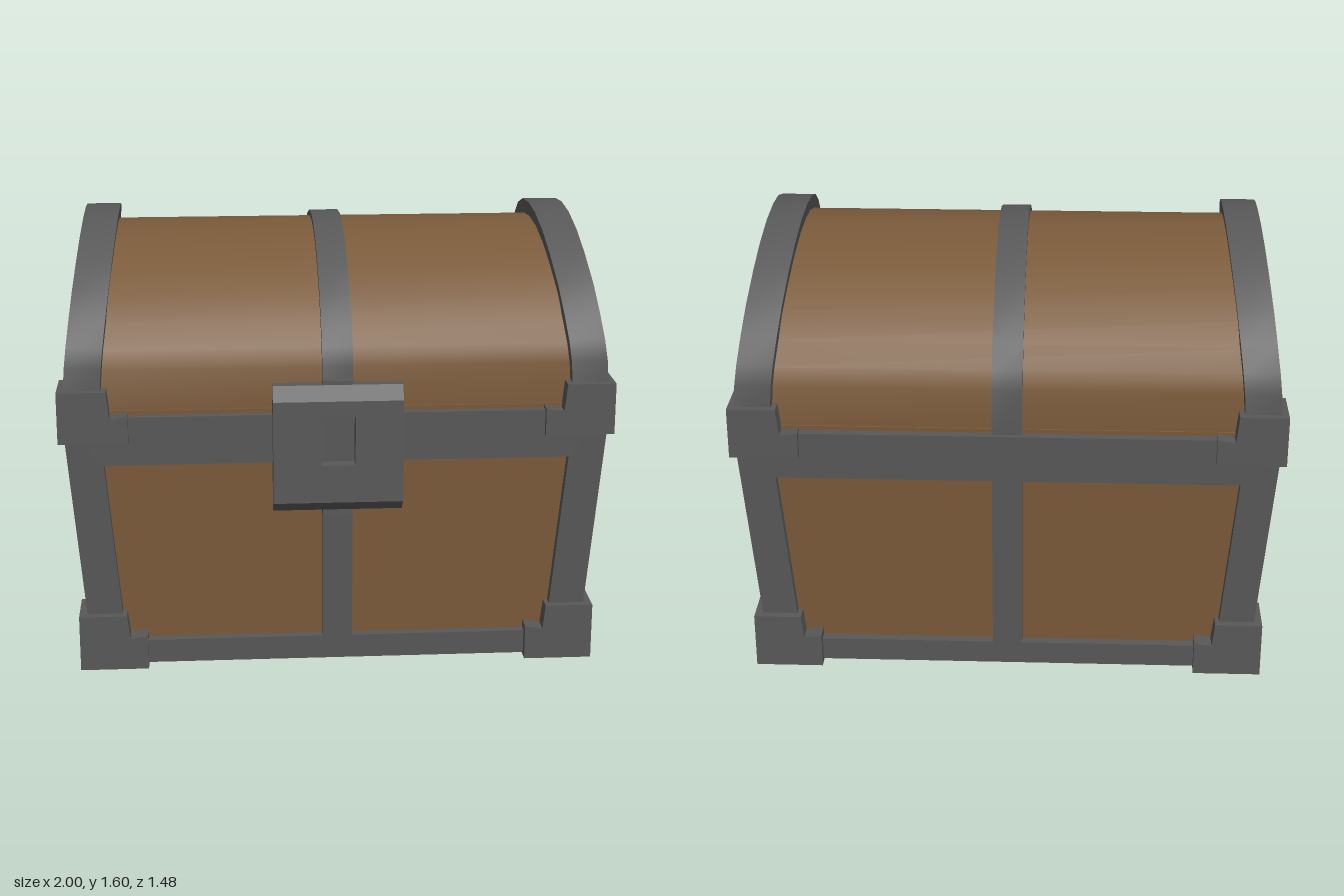
import * as THREE from 'three';
import { toCreasedNormals } from 'three/addons/utils/BufferGeometryUtils.js';

const wood = new THREE.MeshStandardMaterial({ color: 0x7a5a3a });
const metal = new THREE.MeshStandardMaterial({ color: 0x585858 });
const ZC = -0.015; // the chest sits slightly back, the lock fills the front

// Half width and half depth of the metal frame at height y
const LID = 0.95;
const halfX = (y) => y <= LID ? 0.903 + 0.086 * y
  : 0.985 - 0.07 * Math.pow((y - LID) / 0.65, 1.3);
const halfZ = (y) => 0.68 + 0.028 * y;

const shapeOf = (pts) => new THREE.Shape(pts.map(([x, y]) => new THREE.Vector2(x, y)));

function bend(geo, rule) {
  const p = geo.attributes.position, v = new THREE.Vector3();
  for (let i = 0; i < p.count; i++) {
    rule(v.fromBufferAttribute(p, i));
    p.setXYZ(i, v.x, v.y, v.z);
  }
  return geo;
}

// Mirrors a half profile that runs from the foot to the crown
const mirrorArch = (half) => [...half, ...half.slice(0, -1).reverse().map(([x, y]) => [-x, y])];

const outerHalf = [[0.7, 0.95], [0.7, 1.15], [0.675, 1.22], [0.61, 1.305], [0.53, 1.39], [0.4, 1.48],
  [0.28, 1.542], [0.14, 1.583], [0, 1.595]];
const innerHalf = [[0.575, 0.95], [0.565, 1.1], [0.54, 1.18], [0.48, 1.255], [0.41, 1.33], [0.33, 1.39],
  [0.22, 1.445], [0.11, 1.473], [0, 1.48]];
const scaledArch = (kz, crown) => mirrorArch(outerHalf.map(([z, y]) =>
  [z * kz, y <= 1 ? y : 1 + (y - 1) * (crown - 1) / 0.595]));

export function createModel() {
  const chest = new THREE.Group();
  chest.name = 'chest';

  const add = (name, geo, material) => {
    const mesh = new THREE.Mesh(toCreasedNormals(geo, 0.6), material);
    mesh.name = name;
    mesh.position.z = ZC;
    chest.add(mesh);
    return mesh;
  };

  // Extrudes a shape inward from the sloping wall that faces the given angle
  const wallPiece = (name, shape, depth, out, angle) => {
    const geo = new THREE.ExtrudeGeometry(shape, { depth, bevelEnabled: false });
    bend(geo, (v) => { v.z += out(v.y) - depth; });
    add(name, geo.rotateY(angle), metal);
  };

  // Wooden body, wider at the top
  add('body', bend(new THREE.BoxGeometry(2, 0.97, 2).translate(0, 0.5, 0), (v) => {
    v.x *= halfX(v.y) - 0.035;
    v.z *= halfZ(v.y) - 0.035;
  }), wood);

  // Wooden barrel lid, its ends leaning inward
  const lid = new THREE.ExtrudeGeometry(shapeOf(scaledArch(0.95, 1.538)), { depth: 2, bevelEnabled: false });
  lid.translate(0, 0, -1).rotateY(Math.PI / 2);
  add('lid', bend(lid, (v) => { v.x *= halfX(v.y) - 0.035; }), wood);

  // Metal strap over the middle of the lid
  const strap = new THREE.ExtrudeGeometry(shapeOf(scaledArch(0.985, 1.56)), { depth: 0.11, bevelEnabled: false });
  add('lidStrap', strap.translate(0, 0, -0.055).rotateY(Math.PI / 2), metal);

  // Wall frame: tapered outline with one opening, or two beside a middle bar
  const wallFrame = (half, split) => {
    const shape = shapeOf([[-half(0.01), 0.01], [half(0.01), 0.01], [half(0.97), 0.97], [-half(0.97), 0.97]]);
    const a = half(0.1) - 0.13, b = half(0.79) - 0.13;
    const holes = split
      ? [1, -1].map((s) => [[s * 0.055, 0.1], [s * a, 0.1], [s * b, 0.79], [s * 0.055, 0.79]])
      : [[[-a, 0.1], [a, 0.1], [b, 0.79], [-b, 0.79]]];
    shape.holes = holes.map(shapeOf);
    return shape;
  };

  // L-shaped corner plates: foot and lid seam
  const corners = [
    { name: 'footCorner', x: 0.95, z: 0.715, low: 0, high: 0.21, notch: 0.13 },
    { name: 'seamCorner', x: 1.0, z: 0.7275, low: 0.88, high: 1.07, notch: 0.98 },
  ];

  for (const back of [0, Math.PI]) {
    const side = back + Math.PI / 2;
    wallPiece(back ? 'backFrame' : 'frontFrame', wallFrame(halfX, true), 0.05, halfZ, back);
    wallPiece(back ? 'rightFrame' : 'leftFrame', wallFrame(halfZ, false), 0.05, halfX, side);

    // Arched rim at the lid end
    const rim = shapeOf([...mirrorArch(outerHalf), ...mirrorArch(innerHalf).reverse()]);
    wallPiece(back ? 'rightLidRim' : 'leftLidRim', rim, 0.13, halfX, side);

    for (const c of corners) {
      for (const s of [1, -1]) {
        const plate = (edge) => shapeOf([
          [edge, c.low], [edge, c.high], [edge - 0.175, c.high], [edge - 0.185, c.notch - 0.01],
          [edge - 0.25, c.notch], [edge - 0.25, c.low],
        ].map(([x, y]) => [s * x, y]));
        wallPiece(c.name, plate(c.x), 0.08, () => c.z, back);
        wallPiece(c.name, plate(c.z), 0.08, () => c.x, side);
      }
    }
  }

  // Lock plate with a slot, top and bottom edges chamfered at the front
  const plate = shapeOf([[-0.235, 0.61], [0.232, 0.61], [0.232, 1.08], [-0.235, 1.08]]);
  plate.holes.push(shapeOf([[-0.06, 0.79], [0.06, 0.79], [0.06, 0.97], [-0.06, 0.97]]));
  const lock = new THREE.ExtrudeGeometry(plate, { depth: 0.08, steps: 2, bevelEnabled: false });
  bend(lock, (v) => {
    if (v.z > 0.07) v.y = v.y > 1 ? 1.03 : v.y < 0.7 ? 0.65 : v.y;
  });
  add('lockPlate', lock.translate(0, 0, 0.66), metal).position.z = 0;

  // Tabs joining the lock to the strap and the bar
  for (const y of [0.63, 1.055]) {
    add('lockTab', new THREE.BoxGeometry(0.11, 0.08, 0.06).translate(0, y, 0.685), metal);
  }
  return chest;
}
